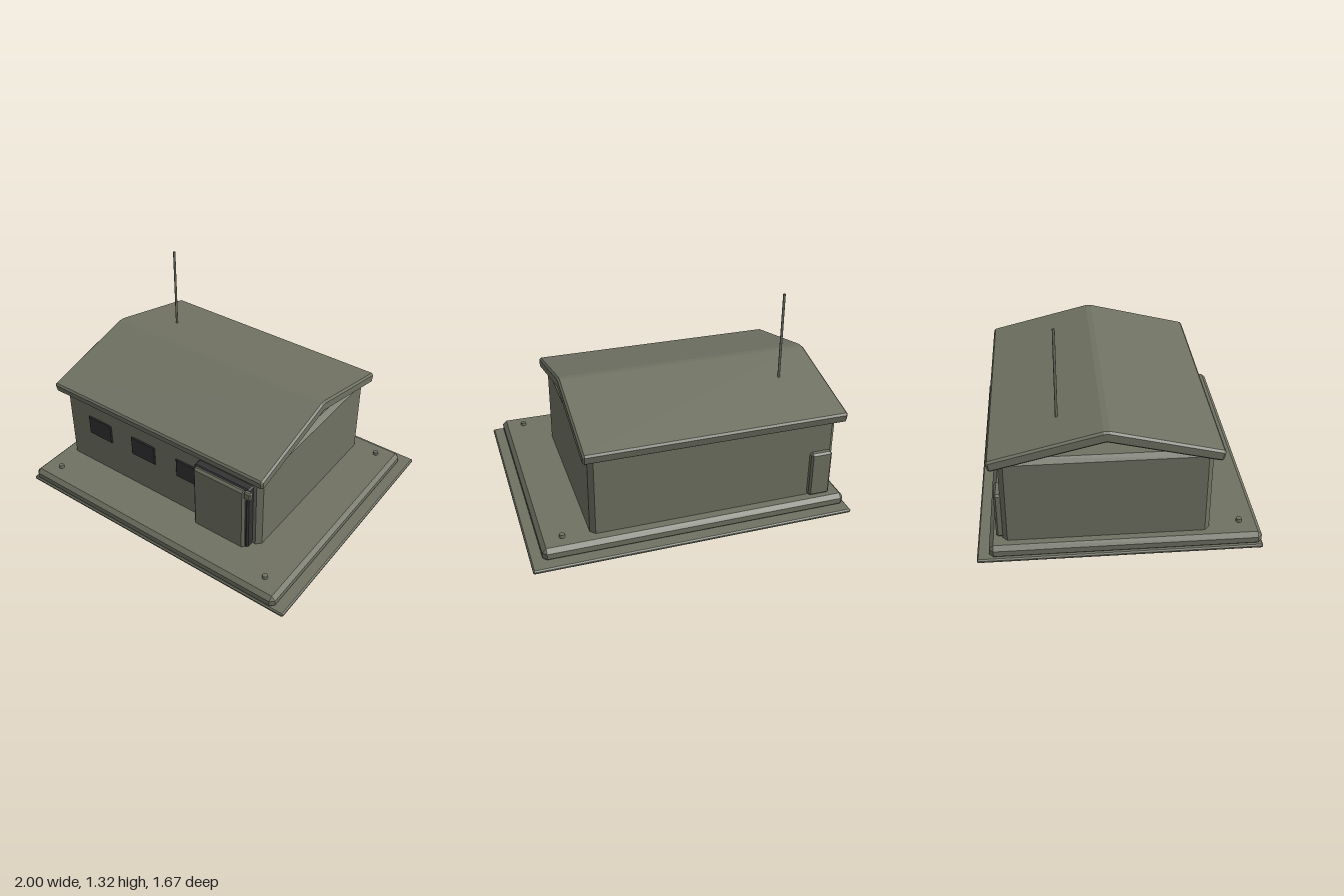
import * as THREE from 'three';
import { ConvexGeometry } from 'three/addons/geometries/ConvexGeometry.js';

const olive = new THREE.MeshStandardMaterial({ color: 0x707263 });
olive.name = 'olive paint';
const dark = new THREE.MeshStandardMaterial({ color: 0x333333 });
dark.name = 'dark grey';

export function createModel() {
  const model = new THREE.Group();
  model.name = 'fieldHut';

  const add = (name, geometry, material) => {
    const mesh = new THREE.Mesh(geometry, material);
    mesh.name = name;
    model.add(mesh);
    return mesh;
  };

  // Box given by its limits, with every edge chamfered by c
  const chamferBox = (name, [x0, x1], [y0, y1], [z0, z1], c, material) => {
    const half = [(x1 - x0) / 2, (y1 - y0) / 2, (z1 - z0) / 2];
    const points = [];
    for (const sx of [-1, 1]) for (const sy of [-1, 1]) for (const sz of [-1, 1]) {
      for (let full = 0; full < 3; full++) {
        const p = half.map((h, i) => (i === full ? h : h - c));
        points.push(new THREE.Vector3(sx * p[0], sy * p[1], sz * p[2]));
      }
    }
    const mesh = add(name, new ConvexGeometry(points), material);
    mesh.position.set((x0 + x1) / 2, (y0 + y1) / 2, (z0 + z1) / 2);
    return mesh;
  };

  // Ground plate and foundation
  chamferBox('groundPlate', [-1, 1], [0, 0.025], [-0.833, 0.833], 0.008, olive);
  chamferBox('foundationSlab', [-0.985, 0.93], [0.01, 0.095], [-0.762, 0.828], 0.025, olive);

  // Walls, flat on top and open below the gables
  chamferBox('walls', [-0.92, 0.63], [0.06, 0.645], [-0.685, 0.525], 0.03, olive);

  // Pitched roof: chevron section (z, y) swept along x
  const bevel = 0.012;
  const section = new THREE.Shape([
    [0.57, 0.615], [0.58, 0.66], [0.57, 0.673], [-0.065, 0.832],
    [-0.1, 0.832], [-0.735, 0.673], [-0.745, 0.66], [-0.735, 0.615],
    [-0.722, 0.606], [-0.0825, 0.763], [0.557, 0.606],
  ].map(([z, y]) => new THREE.Vector2(z, y)));
  const roof = new THREE.ExtrudeGeometry(section, {
    depth: 1.63 - 2 * bevel, bevelEnabled: true, bevelSegments: 1,
    bevelSize: bevel, bevelThickness: bevel, bevelOffset: -bevel,
  });
  roof.rotateY(-Math.PI / 2);
  roof.translate(0.67 - bevel, 0, 0);
  add('roof', roof, olive);

  // Front windows
  for (const x of [-0.632, -0.268, 0.096]) {
    chamferBox('window', [x - 0.098, x + 0.098], [0.335, 0.477], [0.505, 0.532], 0.006, dark);
  }

  // Door with its dark frame and the small lamp beside it
  chamferBox('doorFrame', [0.178, 0.578], [0.08, 0.56], [0.5, 0.577], 0.01, dark);
  chamferBox('door', [0.185, 0.56], [0.085, 0.552], [0.55, 0.598], 0.014, olive);
  chamferBox('doorLamp', [0.56, 0.61], [0.51, 0.567], [0.575, 0.606], 0.008, olive);

  // Service panel on the back wall
  chamferBox('servicePanel', [-0.895, -0.757], [0.1, 0.4], [-0.72, -0.67], 0.012, olive);

  // Anchor bolts on the slab
  for (const [x, z] of [[0.795, -0.655], [0.795, 0.71], [-0.855, 0.71]]) {
    add('anchorBolt', new THREE.CylinderGeometry(0.016, 0.019, 0.03, 12), olive)
      .position.set(x, 0.1, z);
  }

  // Antenna mast through the back slope
  add('antenna', new THREE.CylinderGeometry(0.008, 0.008, 0.645, 10), olive)
    .position.set(-0.675, 0.9975, -0.347);

  return model;
}
